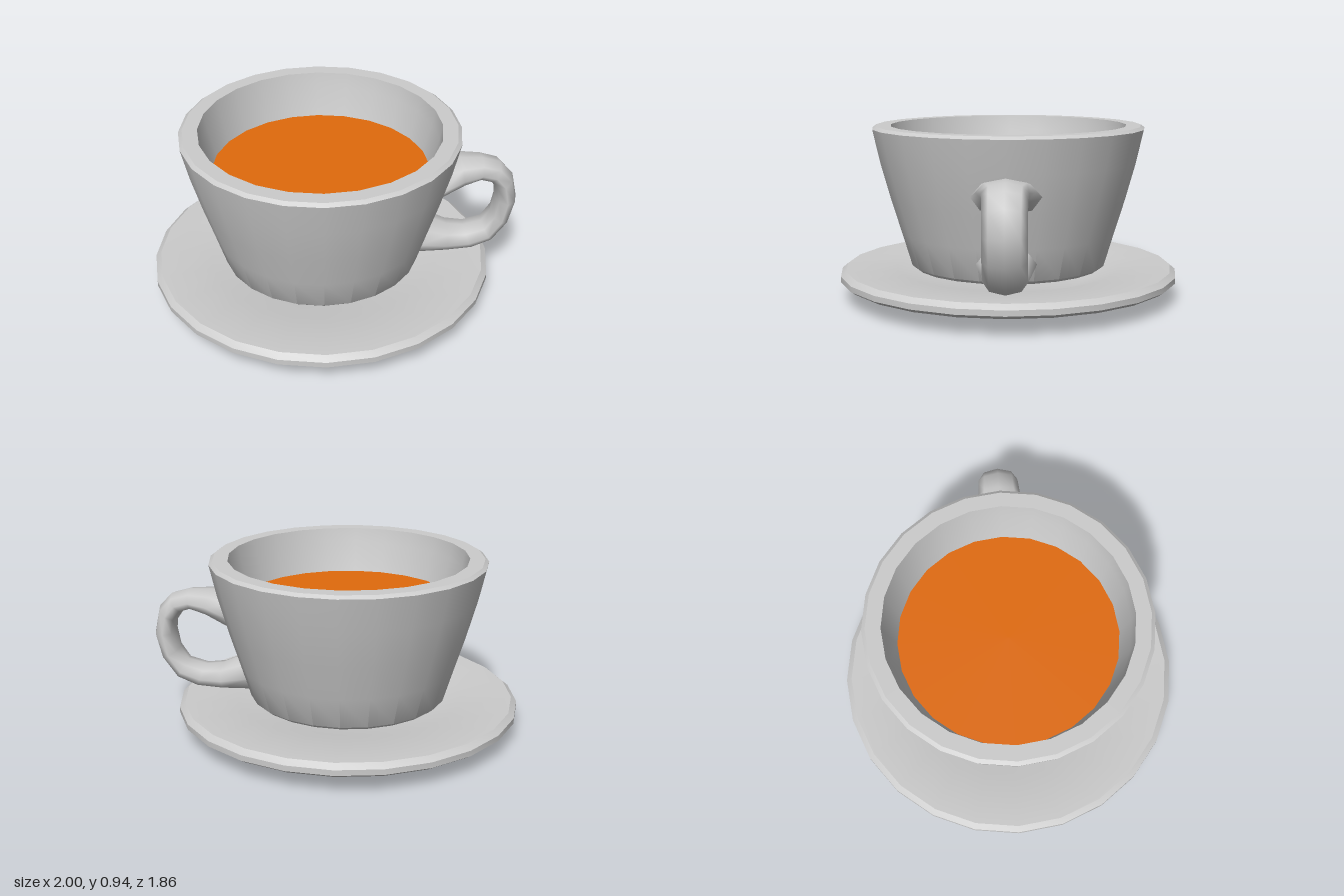
import * as THREE from 'three';
import { toCreasedNormals } from 'three/addons/utils/BufferGeometryUtils.js';

const SIDES = 24;
const AXIS_X = -0.07; // the handle shifts the round parts off centre

const grey = new THREE.MeshStandardMaterial({ color: 0xcccccc });
const tea = new THREE.MeshStandardMaterial({ color: 0xe06a0c });

// Revolve a [radius, height] profile, running from the bottom outward and up
function turned(name, profile) {
  const points = profile.map(([r, y]) => new THREE.Vector2(r, y));
  const mesh = new THREE.Mesh(toCreasedNormals(new THREE.LatheGeometry(points, SIDES), 0.6), grey);
  mesh.name = name;
  mesh.position.x = AXIS_X;
  return mesh;
}

// Loft octagonal rings between an outer and an inner edge, with a half width in z
function handleGeometry(sections, sides = 8) {
  const positions = [];
  const index = [];
  sections.forEach(([ox, oy, ix, iy, w], k) => {
    for (let j = 0; j < sides; j++) {
      const t = (j / sides) * Math.PI * 2;
      const c = Math.cos(t) / 2;
      positions.push((ox + ix) / 2 + (ox - ix) * c, (oy + iy) / 2 + (oy - iy) * c, w * Math.sin(t));
      if (k === sections.length - 1) continue;
      const a = k * sides + j;
      const b = k * sides + ((j + 1) % sides);
      index.push(a, b, a + sides, b, b + sides, a + sides);
    }
  });
  const geometry = new THREE.BufferGeometry();
  geometry.setAttribute('position', new THREE.Float32BufferAttribute(positions, 3));
  geometry.setIndex(index);
  geometry.computeVertexNormals();
  return geometry;
}

export function createModel() {
  const group = new THREE.Group();
  group.name = 'cupAndSaucer';

  // Saucer with a sunken middle and bevelled rim
  group.add(turned('saucer', [
    [0, 0], [0.41, 0], [0.6, 0.09], [0.9, 0.09], [0.93, 0.11], [0.93, 0.14],
    [0.9, 0.165], [0.62, 0.157], [0.42, 0.09], [0, 0.09],
  ]));

  // Hollow cup: foot, curved wall, rim, inner wall and floor
  group.add(turned('cup', [
    [0, 0.168], [0.52, 0.168], [0.54, 0.185], [0.592, 0.36], [0.65, 0.55], [0.705, 0.75],
    [0.745, 0.93], [0.725, 0.945], [0.645, 0.945], [0.63, 0.86], [0.585, 0.7],
    [0.53, 0.5], [0.45, 0.26], [0, 0.26],
  ]));

  // Drink surface
  const drink = new THREE.Mesh(new THREE.CircleGeometry(0.587, SIDES), tea);
  drink.name = 'drink';
  drink.rotation.x = -Math.PI / 2;
  drink.position.set(AXIS_X, 0.7, 0);
  group.add(drink);

  // Handle, flared where both ends run into the wall
  const handle = new THREE.Mesh(handleGeometry([
    [0.56, 0.725, 0.56, 0.54, 0.185],
    [0.68, 0.745, 0.7, 0.61, 0.145],
    [0.8, 0.742, 0.785, 0.635, 0.115],
    [0.9, 0.715, 0.84, 0.618, 0.11],
    [0.97, 0.64, 0.872, 0.57, 0.108],
    [1.0, 0.5, 0.88, 0.5, 0.108],
    [0.965, 0.36, 0.865, 0.405, 0.108],
    [0.88, 0.24, 0.82, 0.335, 0.108],
    [0.77, 0.19, 0.72, 0.308, 0.11],
    [0.62, 0.18, 0.63, 0.318, 0.125],
    [0.44, 0.18, 0.47, 0.39, 0.16],
  ]), grey);
  handle.name = 'handle';
  group.add(handle);

  return group;
}
